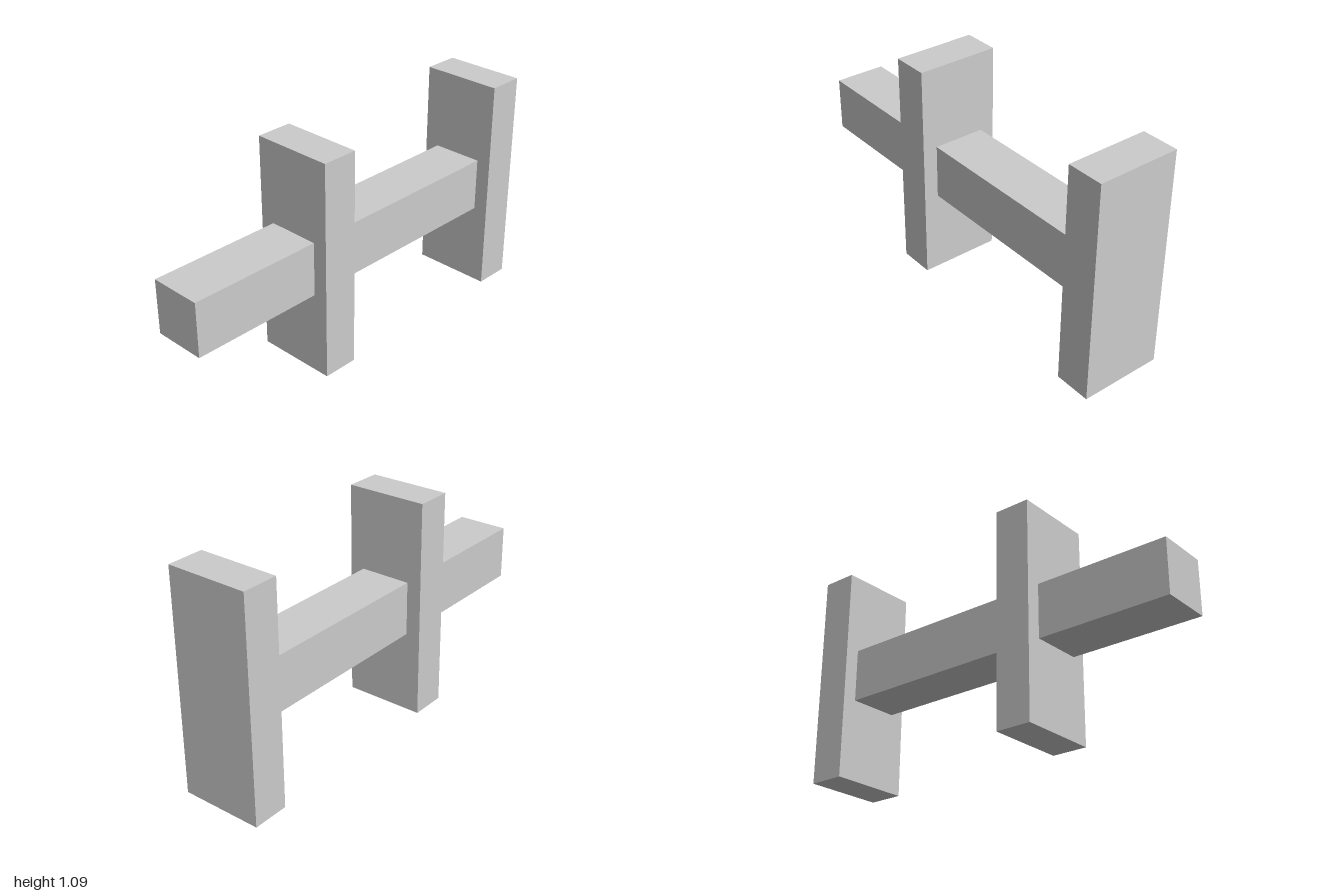
import * as THREE from 'three';

export function createModel() {
  const group = new THREE.Group();
  const material = new THREE.MeshStandardMaterial({ color: 0xcccccc, flatShading: true });

  const addBox = (name, size, position) => {
    const mesh = new THREE.Mesh(new THREE.BoxGeometry(...size), material);
    mesh.name = name;
    mesh.position.set(...position);
    group.add(mesh);
  };

  // Two identical upright plates standing on the ground
  const plate = [0.408, 1.092, 0.181];
  addBox('middlePlate', plate, [0, plate[1] / 2, 0.242]);
  addBox('backPlate', plate, [0, plate[1] / 2, -1 + plate[2] / 2]);

  // Beam passing through the middle plate and ending inside the back plate
  const back = -0.9, front = 1;
  addBox('beam', [0.26, 0.27, front - back], [0, 0.548, (front + back) / 2]);

  return group;
}
